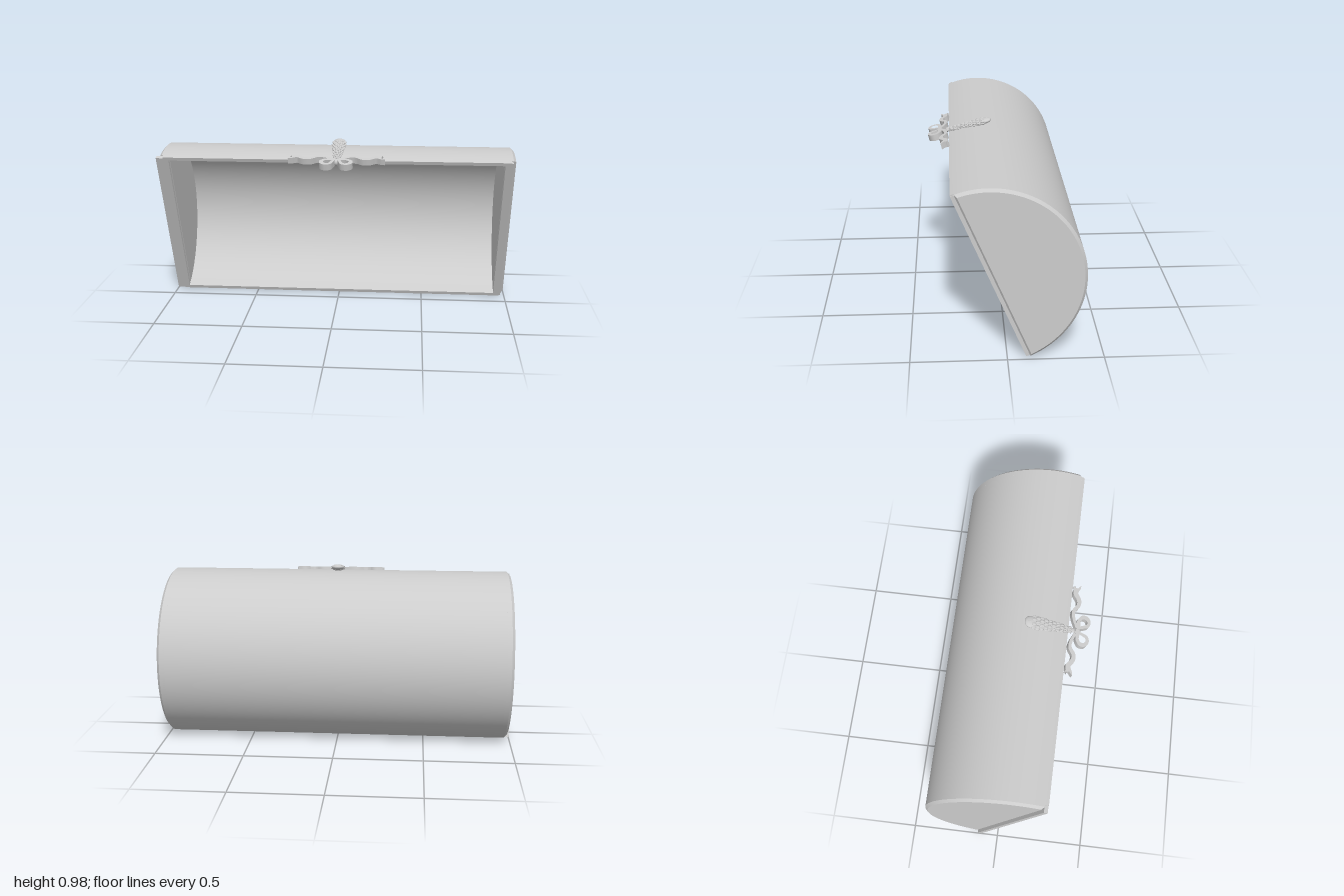
import * as THREE from 'three';
import { toCreasedNormals } from 'three/addons/utils/BufferGeometryUtils.js';

const R = 0.491, CY = 0.4525, CZ = 0.09;      // half-round section: radius and centre
const TOP = Math.atan2(0.4525, -0.19);        // angle of the upper rim
const BOTTOM = TOP - Math.PI;                 // angle of the lower rim

export function createModel() {
  const model = new THREE.Group();
  const material = new THREE.MeshStandardMaterial({ color: 0xcccccc });
  const add = (name, geometry, parent = model) => {
    const mesh = new THREE.Mesh(geometry, material);
    mesh.name = name;
    parent.add(mesh);
    return mesh;
  };

  // Extrudes a (-z, y) section along x
  const alongX = (shape, x0, x1, bevel = 0) => {
    const g = new THREE.ExtrudeGeometry(shape, {
      depth: x1 - x0 - 2 * bevel, curveSegments: 64, bevelEnabled: bevel > 0,
      bevelSize: bevel, bevelThickness: bevel, bevelOffset: -bevel, bevelSegments: 1,
    });
    g.translate(-CZ, CY, x0 + bevel).rotateY(Math.PI / 2);
    return toCreasedNormals(g, 0.5);
  };

  // Curved shell, open at the front
  const shell = new THREE.Shape();
  shell.absarc(0, 0, R, TOP, BOTTOM, true);
  shell.absarc(0, 0, R - 0.02, BOTTOM, TOP, false);
  add('curvedShell', alongX(shell, -0.96, 0.97));

  // Chamfered half-round end panels, set back a little behind the rim
  const panel = new THREE.Shape();
  panel.absarc(0, 0, R, TOP - 0.042, BOTTOM + 0.042, true);
  add('leftEndPanel', alongX(panel, 0.935, 0.995, 0.015));
  add('rightEndPanel', alongX(panel, -0.985, -0.93, 0.015));

  // Flat bars along the slanted front edges of the ends
  const tilt = Math.atan2(0.38, 0.905);
  for (const [name, x0, x1] of [['leftRimBar', 0.935, 0.978], ['rightRimBar', -1, -0.93]]) {
    const bar = add(name, new THREE.BoxGeometry(x1 - x0, 0.972, 0.022).translate(0, 0, -0.011));
    bar.position.set((x0 + x1) / 2, CY, CZ);
    bar.rotation.x = tilt;
  }

  // Ornament tilted over the upper rim
  const bow = new THREE.Group();
  bow.name = 'bowOrnament';
  bow.position.set(0.015, 0.906, 0.33);
  bow.rotation.x = 0.235;
  model.add(bow);

  // Extrudes an (x, z) outline to the ribbon's height
  const ribbon = (shape, height = 0.036) => {
    const g = new THREE.ExtrudeGeometry(shape, { depth: height, bevelEnabled: false, curveSegments: 16 });
    g.rotateX(Math.PI / 2).translate(0, height / 2, 0);
    return toCreasedNormals(g, 0.6);
  };
  const v = (x, y) => new THREE.Vector2(x, y);

  for (const s of [1, -1]) {
    const side = s > 0 ? 'left' : 'right';
    const outline = pts => new THREE.SplineCurve(pts.map(([x, z]) => v(s * x, z))).getPoints(28);

    // Rounded loop with an open middle
    const loop = new THREE.Shape(outline([
      [0, -0.008], [0.05, -0.012], [0.088, 0.012], [0.088, 0.046],
      [0.06, 0.066], [0.026, 0.056], [0.012, 0.022], [0, -0.008]]));
    loop.holes.push(new THREE.Path(outline([
      [0.024, 0.01], [0.05, 0.008], [0.068, 0.022], [0.064, 0.042], [0.042, 0.045], [0.024, 0.01]])));
    add(side + 'BowLoop', ribbon(loop), bow);

    // Waving tail with a notched end
    const path = new THREE.SplineCurve([
      v(0, -0.002), v(0.06, -0.03), v(0.105, -0.036), v(0.145, -0.012),
      v(0.18, -0.014), v(0.215, -0.036), v(0.25, -0.024)]);
    const edges = [[], []];
    for (let i = 0; i <= 30; i++) {
      const p = path.getPoint(i / 30), t = path.getTangent(i / 30);
      const w = 0.007 + 0.008 * i / 30;
      edges[0].push(v(s * (p.x - t.y * w), p.y + t.x * w));
      edges[1].push(v(s * (p.x + t.y * w), p.y - t.x * w));
    }
    const tips = [v(s * 0.266, -0.008), v(s * 0.245, -0.026), v(s * 0.25, -0.053)];
    add(side + 'BowTail', ribbon(new THREE.Shape([...edges[0], ...tips, ...edges[1].reverse()]), 0.034), bow);
  }

  add('bowKnot', new THREE.SphereGeometry(0.018, 16, 10).scale(1, 1.05, 1), bow);

  // Tassel: flattened, widening body covered with staggered scales
  const profile = [[0.001, 0], [0.012, 0.01], [0.017, 0.08], [0.028, 0.18], [0.036, 0.245],
    [0.033, 0.275], [0.02, 0.293], [0.001, 0.298]].map(([r, y]) => v(r, y));
  const body = new THREE.LatheGeometry(new THREE.SplineCurve(profile).getPoints(24), 20);
  body.scale(1, 1, 0.42).rotateX(-Math.PI / 2);
  add('tasselBody', body, bow);

  const scales = new THREE.Group();
  scales.name = 'tasselScales';
  bow.add(scales);
  const scaleShape = new THREE.SphereGeometry(1, 8, 6);
  for (let row = 0; row < 11; row++) {
    const d = 0.045 + row * 0.0225;
    const r = 0.012 + 0.023 * Math.min(1, d / 0.24) - Math.max(0, d - 0.245) * 0.45;
    for (let k = 0; k < 8; k++) {
      const a = (k + (row % 2) / 2) * Math.PI / 4;
      const scale = add('tasselScale', scaleShape, scales);
      scale.position.set(Math.cos(a) * r, Math.sin(a) * r * 0.42, -d);
      scale.scale.set(r * 0.27, 0.005, 0.014);
    }
  }
  return model;
}
